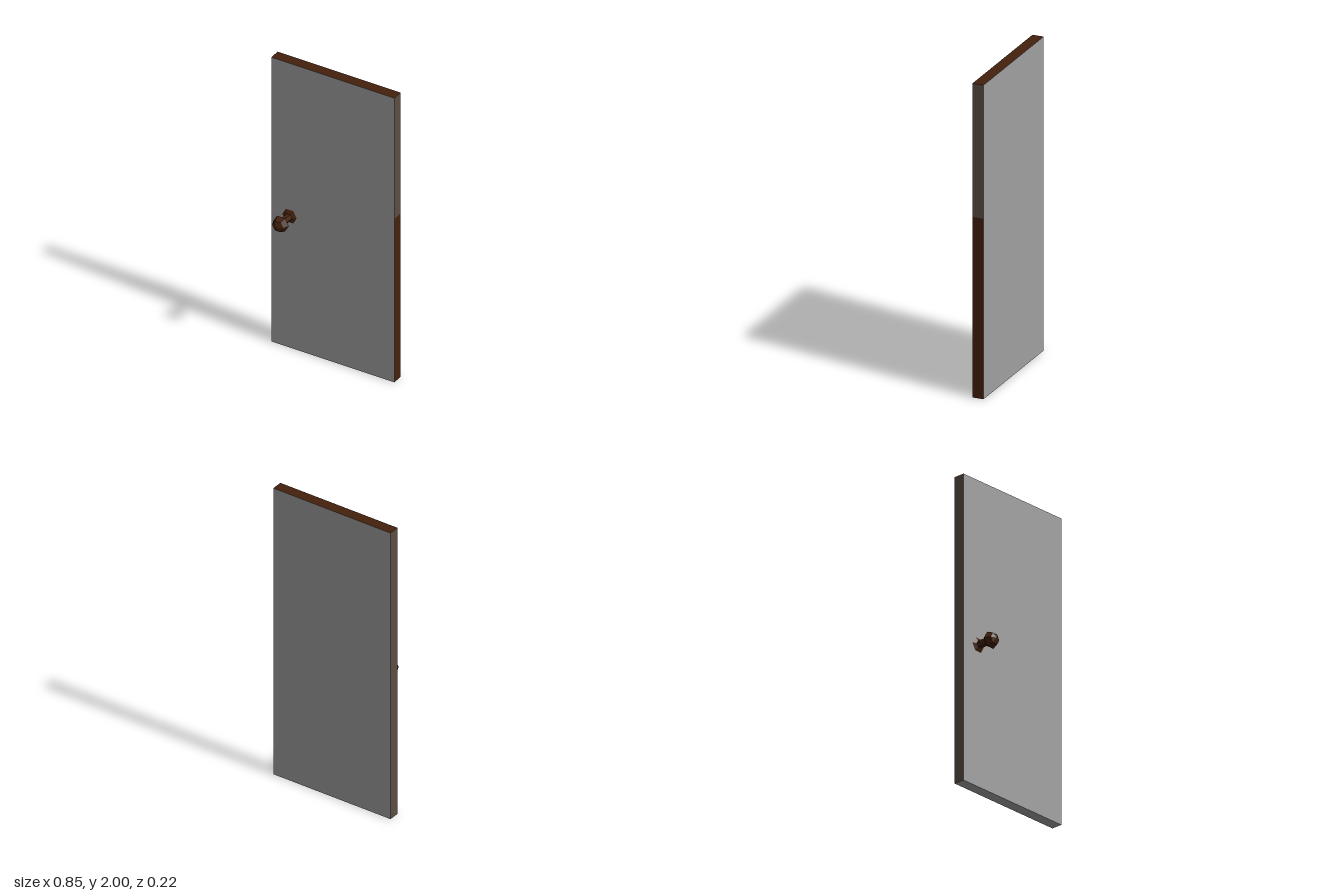
import * as THREE from 'three';

const HEIGHT = 2, WIDTH = 0.854, DEPTH = 0.072, SPLIT = 1.15;

function makeMaterial(name, color) {
  const m = new THREE.MeshStandardMaterial({ color, flatShading: true });
  m.name = name;
  return m;
}

export function createModel() {
  const grey = makeMaterial('panelGrey', 0xa0a0a0);
  const brown = makeMaterial('darkBrown', 0x44210c);
  const greyBrown = makeMaterial('greyBrown', 0x5b4d42);
  const group = new THREE.Group();
  group.name = 'door';

  // Door slab: two rows high, the middle row of vertices sits at the colour split
  const slab = new THREE.BoxGeometry(WIDTH, HEIGHT, DEPTH, 1, 2, 1);
  slab.translate(0, HEIGHT / 2, 0);
  const pos = slab.attributes.position;
  for (let i = 0; i < pos.count; i++) {
    if (Math.abs(pos.getY(i) - HEIGHT / 2) < 0.01) pos.setY(i, SPLIT);
  }
  // Faces in order: +x upper, +x lower, -x, top, bottom, front, back
  const sizes = [6, 6, 12, 6, 6, 12, 12];
  const colours = [1, 2, 1, 2, 0, 0, 0];
  slab.clearGroups();
  let start = 0;
  sizes.forEach((n, i) => {
    slab.addGroup(start, n, colours[i]);
    start += n;
  });
  const door = new THREE.Mesh(slab, [grey, greyBrown, brown]);
  door.name = 'doorSlab';
  door.position.z = -0.076;
  group.add(door);

  // Six-sided knob: flared base, stem and faceted head, turned to point forward
  const profile = [
    [0.05, -0.04], [0.026, -0.028], [0.024, -0.028], [0.024, 0.033],
    [0.054, 0.057], [0.038, 0.095], [0, 0.11],
  ].map(([r, z]) => new THREE.Vector2(r, z));
  const knobGeo = new THREE.LatheGeometry(profile, 6, Math.PI / 2);
  knobGeo.rotateX(Math.PI / 2);
  const knob = new THREE.Mesh(knobGeo, brown);
  knob.name = 'doorKnob';
  knob.position.set(-0.3, 0.925, 0);
  group.add(knob);

  return group;
}
